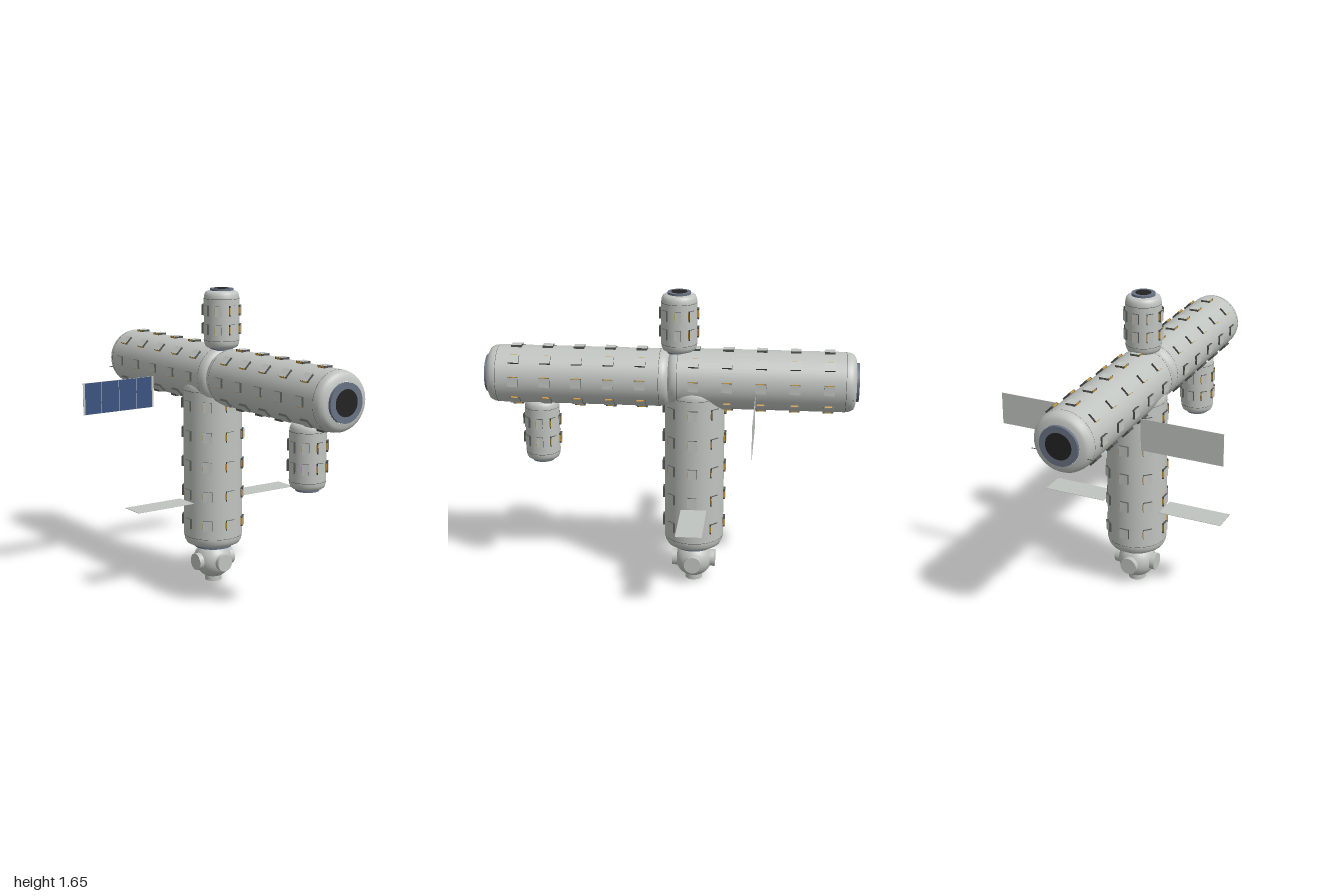
import * as THREE from 'three';

const mat = (name, color, side = THREE.FrontSide) => {
  const m = new THREE.MeshStandardMaterial({ color, side });
  m.name = name;
  return m;
};

export function createModel() {
  const hull = mat('hull grey', 0xc0c4c0);
  const trim = mat('dark trim', 0x50534f);
  const slate = mat('slate ring', 0x687284);
  const black = mat('hatch black', 0x222222);
  const amber = mat('amber light', 0xc8922e);
  const blue = mat('solar blue', 0x3a5280);

  const model = new THREE.Group();
  model.name = 'spaceStation';

  const add = (parent, name, geometry, material, x = 0, y = 0, z = 0) => {
    const mesh = new THREE.Mesh(geometry, material);
    mesh.name = name;
    mesh.position.set(x, y, z);
    parent.add(mesh);
    return mesh;
  };

  // Pressurised module along local +y, with rounded shoulders, hatches and window rings
  function addModule(name, R, L, rows, spacing, win) {
    const g = new THREE.Group();
    g.name = name;
    model.add(g);
    const k = R / 0.16;
    const end = [[0.66, 0.014], [0.8, 0.018], [0.91, 0.027], [0.97, 0.045], [1, 0.07]];
    const pts = end.map(([r, y]) => new THREE.Vector2(r * R, y * (0.4 + 0.6 * k)));
    pts.push(...pts.map(p => new THREE.Vector2(p.x, L - p.y)).reverse());
    add(g, 'hullShell', new THREE.LatheGeometry(pts, 48), hull);

    // End flanges, hatches and thin seams
    for (const s of [-1, 1]) {
      const at = d => L / 2 + s * (L / 2 - d);
      add(g, 'flange', new THREE.CylinderGeometry(0.65 * R, 0.65 * R, 0.016, 40), slate, 0, at(0.008), 0);
      add(g, 'hatch', new THREE.CylinderGeometry(0.44 * R, 0.44 * R, 0.003, 32), black, 0, at(0), 0);
      add(g, 'seam', new THREE.CylinderGeometry(R + 0.0006, R + 0.0006, 0.002, 48, 1, true), trim,
        0, at(0.07 * (0.4 + 0.6 * k)), 0);
    }

    // Raised window covers, each lit along its left edge
    const cover = new THREE.BoxGeometry(win.w, win.h, 0.02);
    const coverMaterials = [trim, trim, trim, trim, hull, hull];
    const light = new THREE.BoxGeometry(0.003, win.h * 0.65, 0.009);
    for (let i = 0; i < rows; i++) {
      for (let j = 0; j < 8; j++) {
        const w = new THREE.Group();
        w.name = 'window';
        w.position.y = L / 2 + (i - (rows - 1) / 2) * spacing;
        w.rotation.y = j * Math.PI / 4;
        add(w, 'windowCover', cover, coverMaterials, 0, 0, R);
        add(w, 'windowLight', light, amber, -win.w / 2 - 0.001, 0, R + 0.004);
        g.add(w);
      }
    }
    return g;
  }

  const large = { w: 0.05, h: 0.056 };
  const small = { w: 0.034, h: 0.056 };

  const front = addModule('frontModule', 0.155, 1.01, 5, 0.169, large);
  front.position.set(0, 1.173, 0.997);
  front.rotation.x = -Math.PI / 2;

  const back = addModule('backModule', 0.16, 1.027, 5, 0.178, large);
  back.position.set(0, 1.173, 0.029);
  back.rotation.x = -Math.PI / 2;

  addModule('verticalModule', 0.162, 0.96, 5, 0.165, large).position.set(0, 0.2, -0.128);
  addModule('topModule', 0.096, 0.33, 2, 0.1, small).position.set(0, 1.315, -0.043);
  addModule('hangingModule', 0.094, 0.36, 2, 0.105, small).position.set(0, 0.685, 0.706);

  // Docking node with five ports
  const node = new THREE.Group();
  node.name = 'dockingNode';
  node.position.set(0, 0.12, -0.128);
  model.add(node);
  add(node, 'nodeSphere', new THREE.SphereGeometry(0.103, 40, 28), hull);
  const portGeometry = new THREE.CylinderGeometry(0.047, 0.047, 0.04, 32);
  const up = new THREE.Vector3(0, 1, 0);
  for (const d of [[1, 0, 0], [-1, 0, 0], [0, 0, 1], [0, 0, -1], [0, -1, 0]]) {
    const dir = new THREE.Vector3(...d);
    const port = add(node, 'dockingPort', portGeometry, hull);
    port.position.copy(dir).multiplyScalar(0.099);
    port.quaternion.setFromUnitVectors(up, dir);
  }

  // Solar wing centred on its group, cells facing +z and plain grey behind
  function addWing(name, width, height) {
    const g = new THREE.Group();
    g.name = name;
    model.add(g);
    add(g, 'wingBacking', new THREE.BoxGeometry(width, height, 0.002), hull);
    add(g, 'solarCells', new THREE.PlaneGeometry(width - 0.024, height - 0.002), blue, 0, 0, 0.0016);
    for (let i = -1; i <= 1; i++) {
      add(g, 'cellDivider', new THREE.PlaneGeometry(0.003, height - 0.002), hull, i * width / 4, 0, 0.0022);
    }
    return g;
  }

  for (const s of [-1, 1]) {
    addWing('upperSolarWing', 0.45, 0.175).position.set(s * 0.402, 1.044, -0.457);
    const lower = addWing('lowerSolarWing', 0.355, 0.14);
    lower.position.set(s * 0.345, 0.475, -0.137);
    lower.rotation.x = Math.PI / 2;
  }

  // Thin cross rod near the back end
  const rod = add(model, 'crossRod', new THREE.CylinderGeometry(0.002, 0.002, 0.33, 8), trim, 0, 1.12, -0.965);
  rod.rotation.z = Math.PI / 2;

  return model;
}
